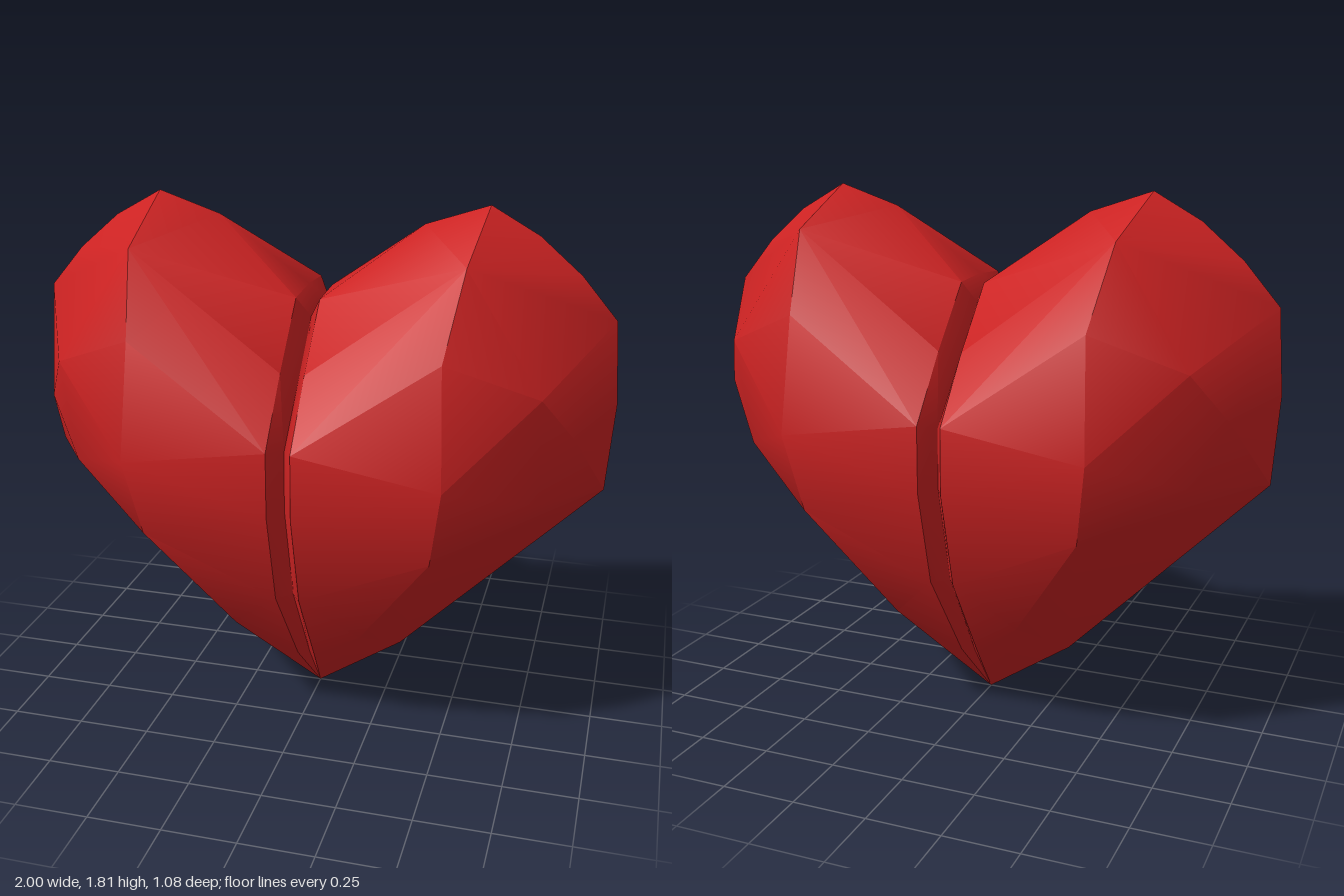
import * as THREE from 'three';
import { ConvexGeometry } from 'three/addons/geometries/ConvexGeometry.js';
import { toCreasedNormals } from 'three/addons/utils/BufferGeometryUtils.js';

// Outline of one lobe in the middle plane: [x, y]
const outline = [
  [0.3, 0.2], [0.98, 0.88], [1, 1.18], [0.98, 1.46], [0.86, 1.6],
  [0.72, 1.72], [0.56, 1.81], [0.35, 1.74], [0.04, 1.52],
];

// Facet corners on the front of one lobe, repeated on the back: [x, y, z]
const corners = [
  [0.54, 1.68, 0.34], [0.5, 1.42, 0.49], [0.79, 1.3, 0.38], [0.89, 1.13, 0.24],
  [0.52, 1.03, 0.54], [0.79, 0.92, 0.29], [0.48, 0.76, 0.48], [0.22, 0.38, 0.32],
];

// Rim beside the groove, from top to tip: [y, z]
const rim = [[1.51, 0.16], [1.31, 0.35], [1.1, 0.52], [0.88, 0.52], [0.55, 0.43], [0.22, 0.2]];

// Bottom of the groove, where the two lobes meet: [y, z]
const groove = [[1.44, 0.12], [1.08, 0.45], [0.88, 0.45], [0.54, 0.36], [0.2, 0.15]];

function lobeGeometry(side) {
  const points = [new THREE.Vector3(0, 0, 0), new THREE.Vector3(0, 1.44, 0)];
  const add = (x, y, z) => points.push(new THREE.Vector3(side * x, y, z));
  for (const [x, y] of outline) add(x, y, 0);
  for (const face of [1, -1]) {
    for (const [x, y, z] of corners) add(x, y, face * z);
    for (const [y, z] of rim) add(y < 0.3 ? 0.03 : 0.04, y, face * z);
    for (const [y, z] of groove) add(0, y, face * z);
  }
  // Soft facets, with a sharp edge along the groove
  return toCreasedNormals(new ConvexGeometry(points), 0.6);
}

export function createModel() {
  const group = new THREE.Group();
  group.name = 'heart';
  const red = new THREE.MeshStandardMaterial({ color: 0xcc2222 });
  red.name = 'red';
  for (const [name, side] of [['leftLobe', 1], ['rightLobe', -1]]) {
    const lobe = new THREE.Mesh(lobeGeometry(side), red);
    lobe.name = name;
    group.add(lobe);
  }
  return group;
}
